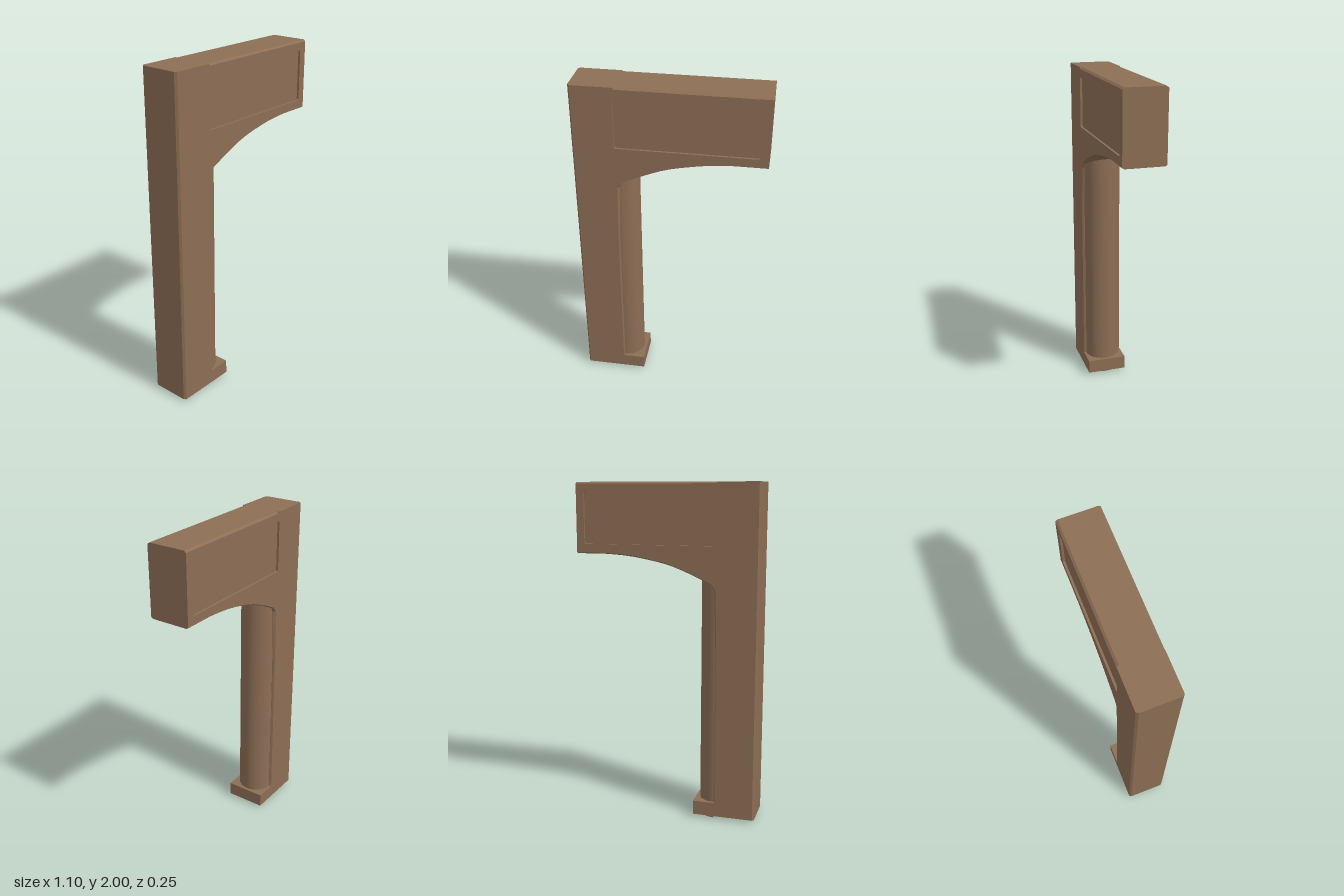
import * as THREE from 'three';

const brown = new THREE.MeshStandardMaterial({ color: 0x8d6e55 });
brown.name = 'brown';

const HALF = 0.123;   // half thickness of the bracket
const SKIN = 0.013;   // depth of the side skins, bevels and panel recess

// Curved underside of the arm, running down into the post
const arch = new THREE.SplineCurve([
  [0.36, 1.585], [0.2, 1.572], [0, 1.533], [-0.14, 1.482], [-0.275, 1.42],
].map(p => new THREE.Vector2(...p))).getPoints(12);

// Each outline point: [core x, core y, inset x, inset y]; the inset forms the edge bevel
const outline = [
  [-0.55, 0.015, 0.01, 0],
  [-0.175, 0.015, 0, 0],
  [-0.175, 0.1, 0, 0],
  [-0.303, 0.1, -0.006, 0],
  [-0.301, 1.0, -0.006, 0],
  [-0.297, 1.2, -0.008, 0],
  [-0.288, 1.39, -0.012, 0.004],
  ...arch.map(p => [p.x, p.y, 0, 0.006]).reverse(),
  [0.545, 1.585, 0, 0.006],
  [0.545, 2, 0, -0.01],
  [-0.3, 2, 0, -0.01],
  [-0.302, 2, 0, 0],
  [-0.55, 2, 0.01, 0],
];
const corePts = outline.map(([x, y]) => new THREE.Vector2(x, y));
const skinPts = outline.map(([x, y, dx, dy]) => new THREE.Vector2(x + dx, y + dy));

function roundedRect(x0, y0, x1, y1, r) {
  const p = new THREE.Path();
  p.moveTo(x0 + r, y0);
  p.lineTo(x1 - r, y0).quadraticCurveTo(x1, y0, x1, y0 + r);
  p.lineTo(x1, y1 - r).quadraticCurveTo(x1, y1, x1 - r, y1);
  p.lineTo(x0 + r, y1).quadraticCurveTo(x0, y1, x0, y1 - r);
  p.lineTo(x0, y0 + r).quadraticCurveTo(x0, y0, x0 + r, y0);
  return p;
}

// Side skin with a panel opening; its inner rim flares out to meet the core
function skinGeometry(side) {
  const shape = new THREE.Shape(skinPts);
  shape.holes.push(roundedRect(-0.31, 1.642, 0.498, 1.945, 0.012));
  const geo = new THREE.ExtrudeGeometry(shape, { depth: SKIN, bevelEnabled: false, curveSegments: 4 });
  geo.translate(0, 0, side > 0 ? HALF - SKIN : -HALF);
  const pos = geo.attributes.position;
  for (let i = 0; i < pos.count; i++) {
    if (Math.abs(pos.getZ(i)) > HALF - SKIN / 2) continue;
    const k = skinPts.findIndex(p => Math.hypot(p.x - pos.getX(i), p.y - pos.getY(i)) < 1e-4);
    if (k >= 0) pos.setXY(i, corePts[k].x, corePts[k].y);
  }
  geo.computeVertexNormals();
  return geo;
}

export function createModel() {
  const group = new THREE.Group();
  group.name = 'bracket';
  const add = (name, geo) => {
    const mesh = new THREE.Mesh(geo, brown);
    mesh.name = name;
    group.add(mesh);
    return mesh;
  };

  // Core of post, arm and foot; it also forms the recessed panel floors
  const core = new THREE.ExtrudeGeometry(new THREE.Shape(corePts), {
    depth: 2 * (HALF - SKIN), bevelEnabled: false,
  });
  core.translate(0, 0, SKIN - HALF);
  add('bracketCore', core);

  // Bevelled side faces
  add('frontFace', skinGeometry(1));
  add('backFace', skinGeometry(-1));

  // Half-round column against the post, poking slightly below the foot
  add('column', new THREE.CylinderGeometry(0.108, 0.108, 1.5, 32, 1, false, 0, Math.PI))
    .position.set(-0.302, 0.75, 0);

  return group;
}
